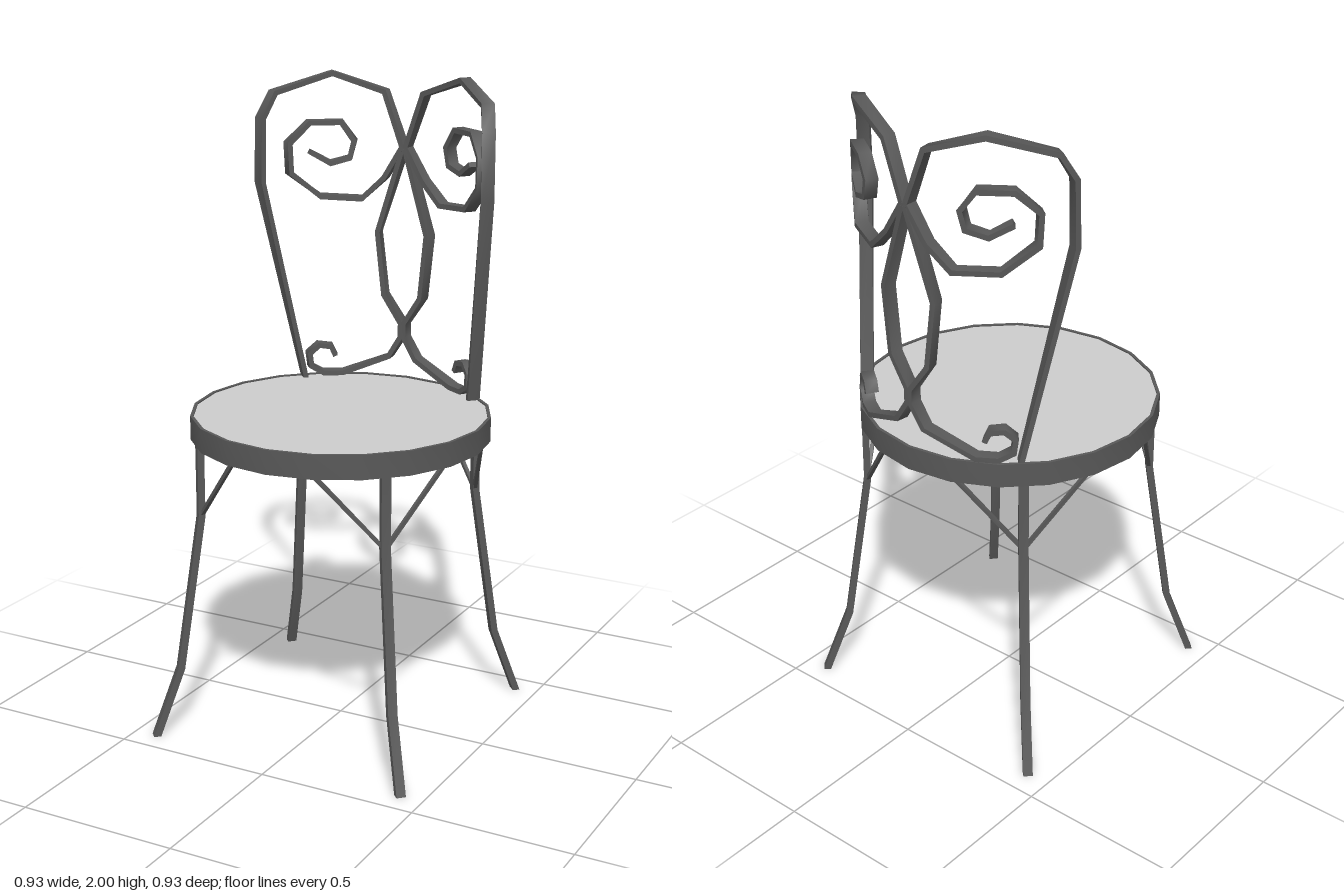
import * as THREE from 'three';
import { toCreasedNormals } from 'three/addons/utils/BufferGeometryUtils.js';

const iron = new THREE.MeshStandardMaterial({ color: 0x585858 });
const pad = new THREE.MeshStandardMaterial({ color: 0xcccccc });

// Sweeps a rectangular bar along points, with mitred bends.
// across(p) gives the direction of the bar's width at a point.
function bar(name, points, width, thick, across, levelEnds = false) {
  const pos = [], index = [], last = points.length - 1;
  const up = new THREE.Vector3(0, 1, 0);
  points.forEach((p, i) => {
    const before = i > 0 ? p.clone().sub(points[i - 1]).normalize() : null;
    const after = i < last ? points[i + 1].clone().sub(p).normalize() : null;
    let t = before && after ? before.clone().add(after).normalize() : (before || after).clone();
    if (levelEnds && !(before && after)) t = up;
    const w = across(p);
    const n = t.clone().cross(w).normalize();
    const mitre = Math.min(1.5, 1 / Math.max(0.1, t.dot(after || before)));
    for (const [a, b] of [[1, 1], [-1, 1], [-1, -1], [1, -1]]) {
      const c = p.clone().addScaledVector(w, a * width / 2).addScaledVector(n, b * thick * mitre / 2);
      pos.push(c.x, c.y, c.z);
    }
    if (i < last) {
      for (let k = 0; k < 4; k++) {
        const a = i * 4 + k, b = i * 4 + (k + 1) % 4;
        index.push(a, b, b + 4, a, b + 4, a + 4);
      }
    }
  });
  const e = last * 4;
  index.push(0, 2, 1, 0, 3, 2, e, e + 1, e + 2, e, e + 2, e + 3);
  const g = new THREE.BufferGeometry();
  g.setAttribute('position', new THREE.Float32BufferAttribute(pos, 3));
  g.setIndex(index);
  const mesh = new THREE.Mesh(toCreasedNormals(g, 1.2), iron);
  mesh.name = name;
  return mesh;
}

const radial = p => new THREE.Vector3(p.x, 0, p.z).normalize();
const tangential = p => new THREE.Vector3(p.z, 0, -p.x).normalize();

// Backrest strips, drawn flat as [x, y] and wrapped round the seat's curve
const BACK_RADIUS = 0.436;
const strips = {
  backUpright: [[0.302, 1.0], [0.392, 1.66], [0.39, 1.86], [0.367, 1.937], [0.23, 1.992],
    [0.07, 1.937], [0.004, 1.76]],
  backScroll: [[0.004, 1.77], [0.07, 1.665], [0.143, 1.595], [0.262, 1.602], [0.335, 1.68], [0.338, 1.775],
    [0.29, 1.838], [0.205, 1.838], [0.167, 1.78], [0.18, 1.725], [0.235, 1.708], [0.288, 1.745]],
  backCentre: [[0.004, 1.76], [0.09, 1.49], [0.067, 1.285], [0.006, 1.195], [0.006, 1.15],
    [0.05, 1.08], [0.2, 1.018], [0.255, 1.018], [0.288, 1.042], [0.292, 1.085],
    [0.268, 1.112], [0.234, 1.106], [0.222, 1.075]],
};

export function createModel() {
  const model = new THREE.Group();

  // Thin round seat panel set into the top of a hollow metal rim
  const seat = new THREE.Mesh(new THREE.CylinderGeometry(0.455, 0.455, 0.012, 20), pad);
  seat.name = 'seat';
  seat.position.y = 1.0;
  const rimProfile = [[0.463, 0.935], [0.463, 1.01], [0.453, 1.01], [0.453, 0.935], [0.463, 0.935]]
    .map(([x, y]) => new THREE.Vector2(x, y));
  const rim = new THREE.Mesh(toCreasedNormals(new THREE.LatheGeometry(rimProfile, 20), 0.8), iron);
  rim.name = 'seatRim';
  model.add(seat, rim);

  // Four splayed legs, each with two thin braces up to the rim
  for (const sx of [1, -1]) {
    for (const sz of [1, -1]) {
      const side = (sz > 0 ? 'front' : 'back') + (sx > 0 ? 'Left' : 'Right');
      const leg = new THREE.Group();
      leg.name = side + 'Leg';
      const path = [[0.426, 0], [0.368, 0.22], [0.315, 0.715], [0.315, 0.996]]
        .map(([d, y]) => new THREE.Vector3(sx * d, y, sz * d));
      leg.add(bar(side + 'LegBar', path, 0.029, 0.021, tangential, true));
      for (const [x, z] of [[0.13, 0.42], [0.42, 0.13]]) {
        const brace = [new THREE.Vector3(sx * 0.315, 0.712, sz * 0.315), new THREE.Vector3(sx * x, 0.945, sz * z)];
        leg.add(bar(side + 'Brace', brace, 0.012, 0.012, radial));
      }
      model.add(leg);
    }
  }

  // Mirrored halves of the curved backrest
  const back = new THREE.Group();
  back.name = 'backrest';
  for (const sx of [1, -1]) {
    for (const [name, pts] of Object.entries(strips)) {
      const path = pts.map(([x, y]) =>
        new THREE.Vector3(sx * x, y, -Math.sqrt(BACK_RADIUS ** 2 - x * x)));
      back.add(bar(name + (sx > 0 ? 'Left' : 'Right'), path, 0.04, 0.016, radial));
    }
  }
  model.add(back);
  return model;
}
